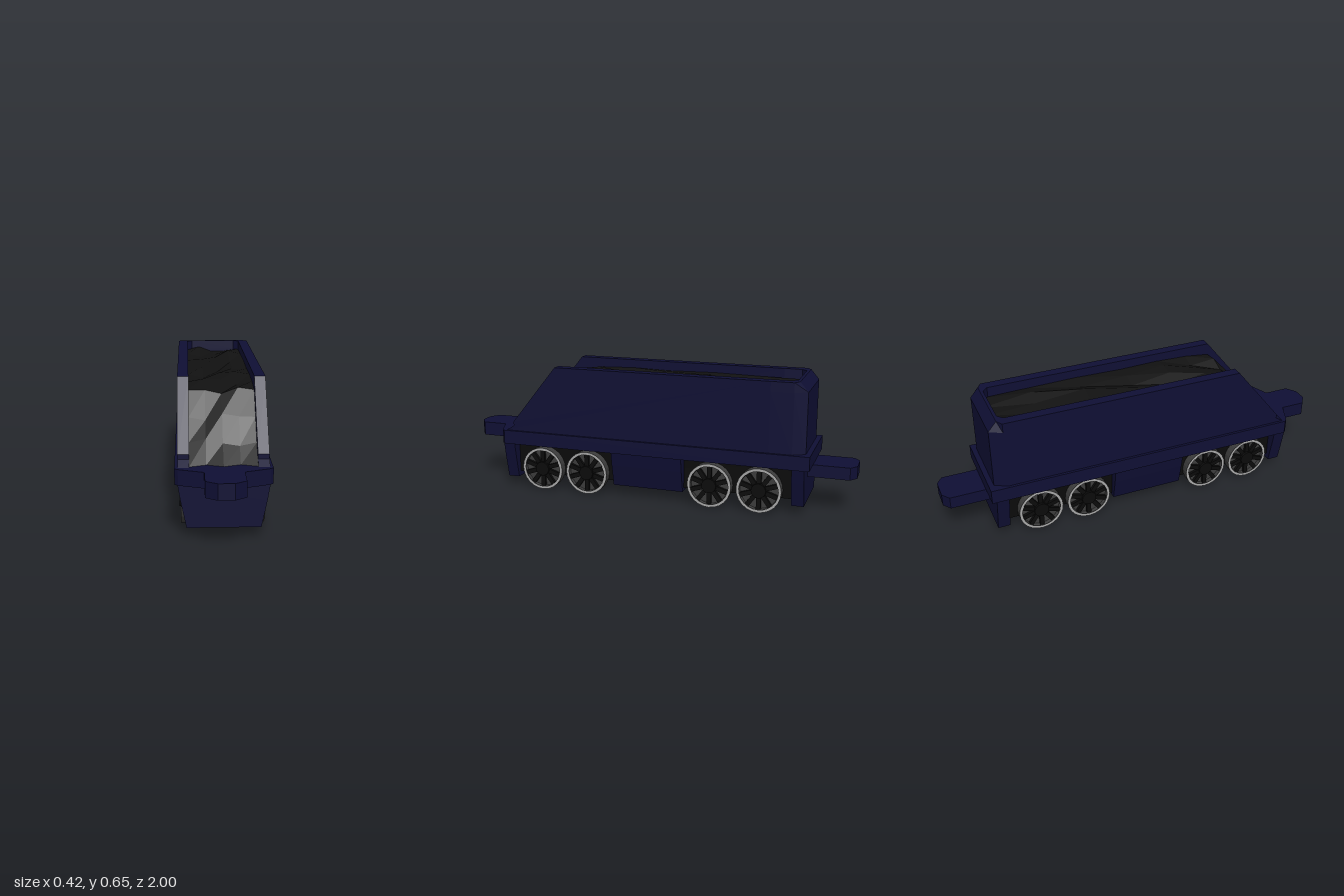
import * as THREE from 'three';

const mat = (name, color) => {
  const m = new THREE.MeshStandardMaterial({ color, flatShading: true, side: THREE.DoubleSide });
  m.name = name;
  return m;
};

export function createModel() {
  const navy = mat('navy paint', 0x0f0f34);
  const coalBlack = mat('coal black', 0x111111);
  const black = mat('chassis black', 0x0a0a0a);
  const steel = mat('dark steel', 0x3c3c3c);
  const bright = mat('bright rim', 0xa8a8a8);

  const model = new THREE.Group();
  model.name = 'coalTender';
  const add = (name, geo, m, parent = model) => {
    const mesh = new THREE.Mesh(geo, m);
    mesh.name = name;
    parent.add(mesh);
    return mesh;
  };
  const shapeOf = pts => new THREE.Shape(pts.map(p => new THREE.Vector2(...p)));
  const extrude = (pts, depth) => new THREE.ExtrudeGeometry(shapeOf(pts), { depth, bevelEnabled: false });
  // half outline of [x, z] points mirrored in x
  const mirror = half => [...half, ...half.map(([x, z]) => [-x, z]).reverse()];
  // plan outline in x, z raised from y0 to y1
  const slab = (pts, y0, y1) =>
    extrude(pts.map(([x, z]) => [x, -z]), y1 - y0).rotateX(-Math.PI / 2).translate(0, y0, 0);
  // front section in x, y run from z0 to z1
  const bar = (pts, z0, z1) => extrude(pts, z1 - z0).translate(0, 0, z0);

  // frame with tapered front coupler, and lower rear coupler
  add('frame', slab(mirror([[0.21, -0.795], [0.21, 0.78], [0.195, 0.795], [0.085, 0.84],
    [0.085, 0.965], [0.035, 1]]), 0.235, 0.305), navy);
  add('rearCoupler', slab(mirror([[0.09, -0.72], [0.09, -0.97], [0.05, -1]]), 0.175, 0.236), navy);

  // tapered skirts below the frame
  const skirt = y => mirror([[0.197, 0.236], [0.185, 0.165], [0.16, y]]);
  add('frontSkirt', bar(skirt(0.045), 0.73, 0.79), navy);
  add('centreTank', bar(skirt(0.055), -0.17, 0.195), navy);
  add('rearSkirt', bar(skirt(0.045), -0.77, -0.71), navy);
  add('chassis', new THREE.BoxGeometry(0.28, 0.165, 1.46).translate(0, 0.1535, 0.01), black);

  // side walls, cut down at the front
  const profile = [[-0.6, 0.305], [0.77, 0.305], [0.73, 0.33], [0.73, 0.352], [0.49, 0.647], [-0.6, 0.647]];
  for (const side of [1, -1]) {
    const wall = extrude(profile.map(([z, y]) => [-z, y]), 0.05).rotateY(Math.PI / 2);
    add(side > 0 ? 'leftWall' : 'rightWall', wall.translate(side > 0 ? 0.147 : -0.197, 0, 0), navy);
  }

  // rear wall with chamfered corners and a sloped top edge
  const outer = [[0.197, -0.6], [0.197, -0.71], [0.165, -0.77]];
  const inner = [[0.12, -0.715], [0.147, -0.69], [0.147, -0.6]];
  const rear = [...outer, ...outer.map(([x, z]) => [-x, z]).reverse(),
    ...inner.map(([x, z]) => [-x, z]).reverse(), ...inner].filter((p, i, a) => a.indexOf(p) === i);
  const rearPlan = [...outer, ...outer.map(([x, z]) => [-x, z]).reverse(),
    ...inner.slice().reverse().map(([x, z]) => [-x, z]), ...inner];
  add('rearWall', slab(rearPlan.length === rear.length ? rearPlan : rear, 0.305, 0.6), navy);
  const cap = slab(rearPlan, 0.6, 0.647);
  const cp = cap.attributes.position;
  for (let i = 0; i < cp.count; i++)
    if (cp.getY(i) > 0.63 && cp.getZ(i) < -0.73) cp.setZ(i, -0.73);
  cap.computeVertexNormals();
  add('rearWallCap', cap, navy);

  // coal: uneven surface running down to the front opening
  const run = [[-0.74, 0.595], [-0.5, 0.6], [-0.25, 0.605], [0, 0.6], [0.2, 0.605], [0.36, 0.6],
    [0.49, 0.585], [0.58, 0.48], [0.66, 0.385], [0.745, 0.304]];
  const cols = 4, rows = run.length - 1;
  const coal = new THREE.PlaneGeometry(1, 1, cols, rows);
  const pos = coal.attributes.position;
  for (let r = 0; r <= rows; r++) for (let c = 0; c <= cols; c++) {
    const [z, y] = run[r];
    const inside = c > 0 && c < cols ? 1 : 0;
    const bump = r < rows ? 0.018 * Math.sin(r * 2.3 + c * 1.9) * inside : 0;
    const shift = r === rows ? 0.014 * Math.cos(c * Math.PI) : 0;
    pos.setXYZ(r * (cols + 1) + c, -0.148 + 0.296 * c / cols, y + bump, z + shift);
  }
  coal.computeVertexNormals();
  add('coalLoad', coal, coalBlack);

  // spoked wheel: axle along x, outer face towards +x
  const makeWheel = () => {
    const wheel = new THREE.Group();
    wheel.name = 'wheel';
    const tyre = [[0, 0.142], [0.11, 0.142], [0.11, 0.184], [0.096, 0.184], [0.094, 0.166], [0, 0.166]];
    add('tyre', new THREE.LatheGeometry(tyre.map(p => new THREE.Vector2(...p)), 24).rotateZ(-Math.PI / 2), steel, wheel);
    add('rim', new THREE.RingGeometry(0.098, 0.11, 24).rotateY(Math.PI / 2).translate(0.186, 0, 0), bright, wheel);
    add('hub', new THREE.CylinderGeometry(0.036, 0.04, 0.03, 16).rotateZ(-Math.PI / 2).translate(0.175, 0, 0), black, wheel);
    for (let i = 0; i < 10; i++)
      add('spoke', new THREE.BoxGeometry(0.018, 0.07, 0.022).translate(0.172, 0.062, 0)
        .rotateX(i * Math.PI / 5), black, wheel);
    return wheel;
  };
  for (const z of [0.58, 0.335, -0.31, -0.555]) for (const side of [1, -1]) {
    const wheel = makeWheel();
    wheel.position.set(0, 0.11, z);
    wheel.rotation.y = side > 0 ? 0 : Math.PI;
    model.add(wheel);
  }
  return model;
}
